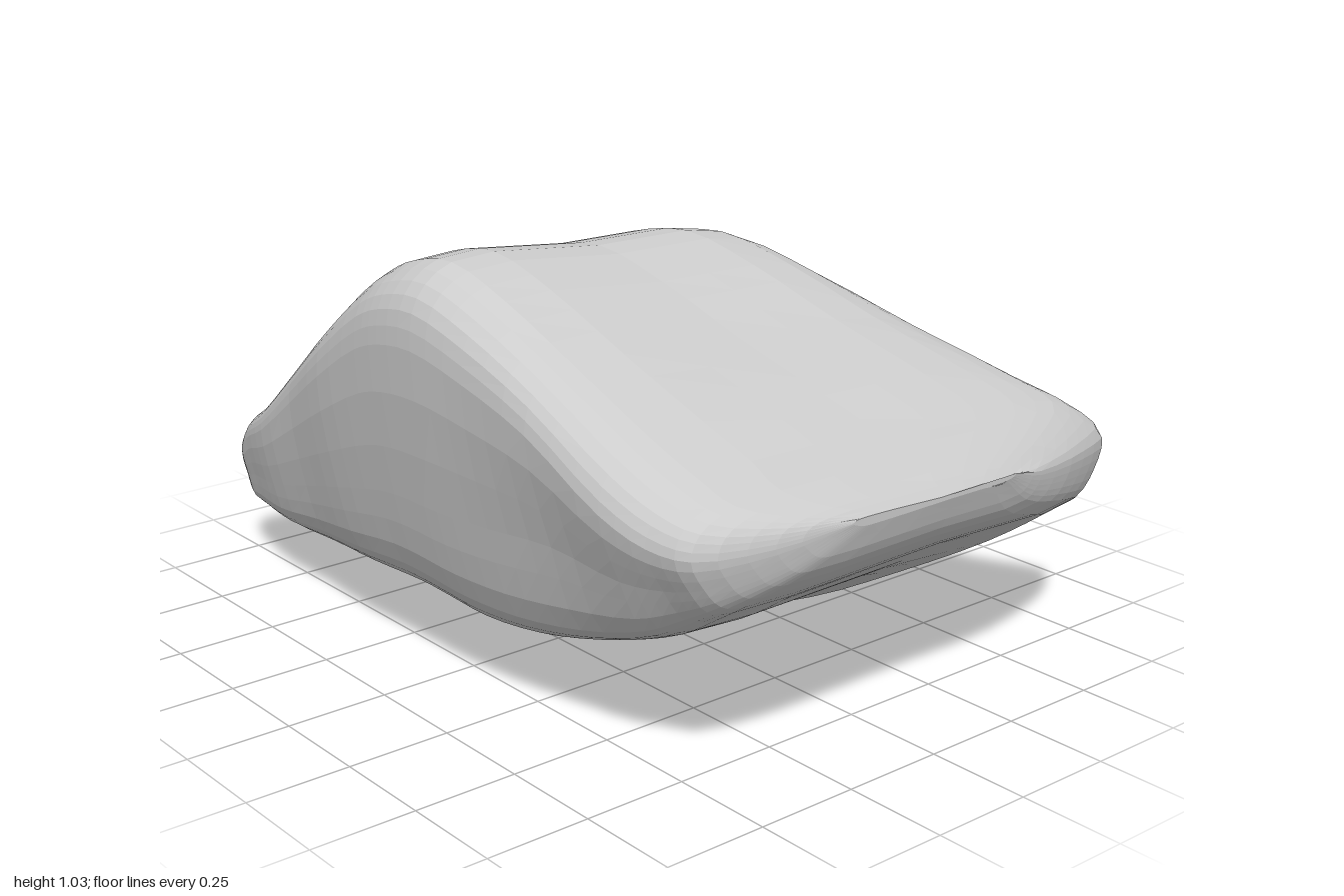
import * as THREE from 'three';

const { lerp, smoothstep } = THREE.MathUtils;

// Cross-sections from front to back: z, left x, right x, top y, bottom y, bottom slope
const stations = [
  [1.00, -0.27, 0.22, 0.60, 0.575, 0],
  [0.97, -0.45, 0.34, 0.635, 0.50, 0],
  [0.90, -0.61, 0.57, 0.68, 0.43, 0],
  [0.81, -0.65, 0.74, 0.72, 0.37, 0],
  [0.70, -0.68, 0.69, 0.78, 0.29, 0.01],
  [0.50, -0.71, 0.59, 0.87, 0.17, 0.05],
  [0.30, -0.725, 0.49, 0.965, 0.06, 0.12],
  [0.13, -0.735, 0.41, 1.02, 0.00, 0.18],
  [0.00, -0.735, 0.33, 1.00, 0.015, 0.19],
  [-0.10, -0.73, 0.27, 0.955, 0.03, 0.19],
  [-0.30, -0.71, 0.15, 0.81, 0.055, 0.17],
  [-0.50, -0.67, 0.03, 0.66, 0.07, 0.16],
  [-0.70, -0.64, -0.10, 0.50, 0.10, 0.12],
  [-0.85, -0.60, -0.21, 0.41, 0.13, 0.08],
  [-0.95, -0.56, -0.31, 0.31, 0.155, 0.04],
  [-1.00, -0.50, -0.42, 0.25, 0.22, 0],
];

// Rounded, lopsided outline of the boulder at one station
function section([z, xL, xR, yT, yB, slope], count) {
  const w = xR - xL, h = yT - yB;
  // Towards the front the left wall stands straighter and its upper edge drops
  const front = smoothstep(z, 0.45, 0.95);
  const lean = 1 - 0.4 * front;
  const keel = lerp(0.97, 0.94, smoothstep(z, -0.5, 0.1));
  const top = (u, d = 0) => [xL + u * w, yT - 0.06 * u * w - d * h];
  const bottom = (u, d = 0) => [xL + u * w, yB + slope * (keel - u) * w + d * h];
  const side = (u, v) => [xL + u * w, yB + v * h];
  const outline = [
    side(0, 0.82 - 0.3 * front), side(0.02, 0.93 - 0.2 * front), top(0.1, 0.1 * front),
    top(0.45), top(0.77), top(0.91, 0.1),
    side(1, 0.41), side(0.985, 0.18), bottom(keel), bottom(0.6), bottom(0.2 * lean),
    bottom(0.11 * lean, 0.07), side(0.05 * lean, 0.45 - 0.2 * front),
  ].map(([x, y]) => new THREE.Vector3(x, y, z));
  const curve = new THREE.CatmullRomCurve3(outline, true);
  return Array.from({ length: count }, (_, i) => curve.getPoint(i / count));
}

function boulderGeometry(around = 39, along = 45) {
  const sections = stations.map((s) => section(s, around));
  // Smooth curves running front to back link the matching outline points
  const rails = Array.from({ length: around }, (_, j) =>
    new THREE.CatmullRomCurve3(sections.map((s) => s[j])));
  const positions = [], index = [];
  for (let i = 0; i <= along; i++) {
    for (const rail of rails) positions.push(...rail.getPoint(i / along).toArray());
  }
  for (let i = 0; i < along; i++) {
    for (let j = 0; j < around; j++) {
      const k = (j + 1) % around;
      const a = i * around + j, b = i * around + k;
      index.push(a, b, a + around, b, b + around, a + around);
    }
  }
  // Close both blunt ends
  const frontTip = positions.length / 3, backTip = frontTip + 1, last = along * around;
  positions.push(-0.03, 0.585, 1, -0.46, 0.235, -1);
  for (let j = 0; j < around; j++) {
    const k = (j + 1) % around;
    index.push(frontTip, k, j, backTip, last + j, last + k);
  }
  const geometry = new THREE.BufferGeometry();
  geometry.setAttribute('position', new THREE.Float32BufferAttribute(positions, 3));
  geometry.setIndex(index);
  geometry.computeVertexNormals();
  return geometry;
}

export function createModel() {
  const group = new THREE.Group();
  group.name = 'rock';
  const material = new THREE.MeshStandardMaterial({ color: 0xcccccc, flatShading: true });
  const boulder = new THREE.Mesh(boulderGeometry(), material);
  boulder.name = 'boulder';
  group.add(boulder);
  return group;
}
